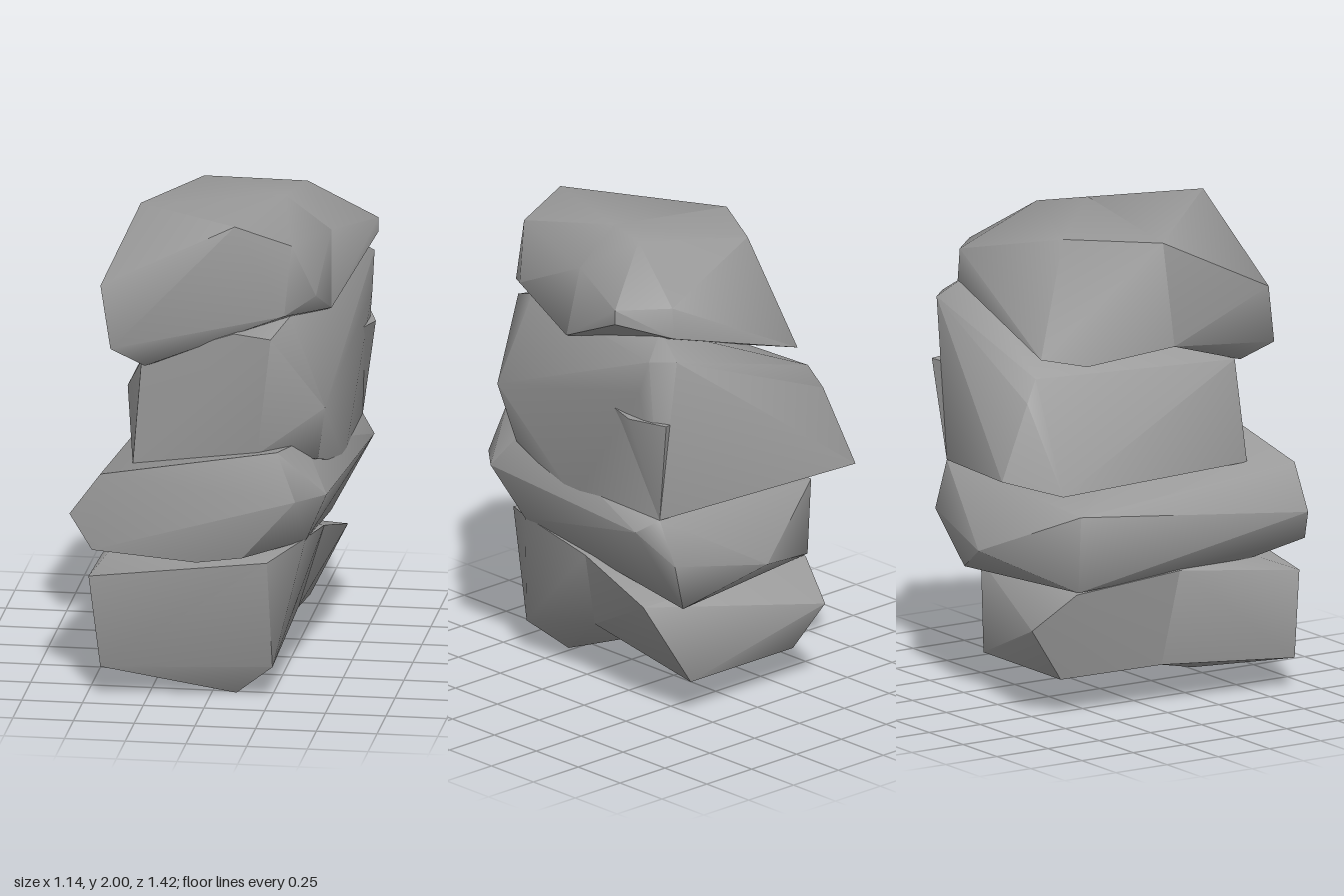
import * as THREE from 'three';
import { ConvexGeometry } from 'three/addons/geometries/ConvexGeometry.js';
import { toCreasedNormals } from 'three/addons/utils/BufferGeometryUtils.js';

const stone = new THREE.MeshStandardMaterial({ color: 0x999999 });
stone.name = 'stone';

// A weathered boulder: convex hull of its corners, soft over shallow edges
function boulder(name, corners) {
  const hull = new ConvexGeometry(corners.map(c => new THREE.Vector3(...c)));
  const mesh = new THREE.Mesh(toCreasedNormals(hull, 1.0), stone);
  mesh.name = name;
  return mesh;
}

export function createModel() {
  const group = new THREE.Group();
  group.name = 'rockStack';

  // Base slab in two halves that meet in a raised underside
  const baseWaist = [[0.3, 0.26, 0.15], [0.4, 0.6, 0.1], [-0.44, 0.57, 0.1], [-0.38, 0.17, 0.05], [0.1, 0.2, 0.02]];
  group.add(boulder('baseFront', [
    ...baseWaist,
    [-0.49, 0.51, 0.65], [0.25, 0.61, 0.69], [0.38, 0.66, 0.48], [-0.43, 0.57, 0.5],
    [-0.44, 0.13, 0.66], [0.10, 0, 0.52], [0.26, 0.14, 0.6],
  ]));
  group.add(boulder('baseBack', [
    ...baseWaist,
    [0.44, 0.49, -0.29], [0.27, 0.15, -0.39], [-0.3, 0.15, -0.39],
    [-0.33, 0.38, -0.55], [-0.39, 0.52, -0.37],
  ]));

  // Tilted slab jutting out at the front
  group.add(boulder('lowerSlab', [
    [-0.57, 0.77, 0.64], [-0.47, 0.635, 0.69], [-0.44, 0.95, 0.66], [-0.42, 0.57, 0.45],
    [-0.04, 0.6, 0.69], [0.15, 0.63, 0.7], [0.38, 0.65, 0.48], [0.37, 0.88, 0.71],
    [0.29, 1.08, 0.68], [0.37, 1.07, 0.46], [0.48, 0.88, 0.58], [0.45, 0.87, 0.1],
    [0.54, 0.86, -0.35], [0.48, 0.92, -0.43], [0.46, 0.73, -0.5], [0.02, 0.65, -0.58],
    [0.35, 0.5, -0.43], [-0.4, 0.53, -0.37], [-0.42, 0.85, -0.37],
  ]));

  // Tall middle block whose back leans out to a low lip
  group.add(boulder('middleBlock', [
    [-0.3, 1.38, 0.46], [-0.33, 0.95, 0.5], [0.1, 1.55, 0.59], [0.26, 1.55, 0.65],
    [0.32, 1.61, 0.5], [0.2, 1.05, 0.62], [0.47, 1.24, 0.55], [0.43, 1.0, 0.48],
    [0.47, 1.25, 0], [0.48, 0.87, 0.08], [0.4, 1.5, 0.15],
    [0.41, 1.71, -0.36], [0.53, 1.62, -0.42], [0.45, 1.62, -0.5], [0.53, 1.47, -0.36],
    [0.48, 0.92, -0.43],
    [-0.28, 1.42, -0.5], [-0.31, 1.33, -0.56], [-0.35, 1.03, -0.71], [-0.5, 0.97, -0.51],
  ]));

  // Small chip with a level ledge on the side
  group.add(boulder('sideChip', [
    [0.55, 1.35, -0.32], [0.5, 1.35, -0.49], [0.5, 1.36, -0.14], [0.48, 0.92, -0.43],
    [0.2, 1.3, -0.35],
  ]));

  // Cap stone in two halves that meet in a slight side hollow
  const capWaist = [[0.24, 2, 0.1], [0.43, 1.86, 0.1], [0.44, 1.55, 0.17], [-0.36, 1.93, 0.07], [-0.4, 1.5, 0.1]];
  group.add(boulder('capFront', [
    ...capWaist,
    [0.10, 2, 0.57], [0.33, 1.92, 0.54], [0.42, 1.69, 0.47], [0.31, 1.64, 0.61],
    [-0.46, 1.71, 0.52], [-0.41, 1.46, 0.58], [-0.28, 1.37, 0.5],
  ]));
  group.add(boulder('capBack', [
    ...capWaist,
    [0.30, 2, -0.11], [-0.15, 1.95, -0.28],
    [0.57, 1.81, -0.26], [0.57, 1.75, -0.26], [0.40, 1.82, -0.42], [0.40, 1.69, -0.43],
    [-0.26, 1.49, -0.46], [-0.36, 1.46, -0.3],
  ]));

  return group;
}
